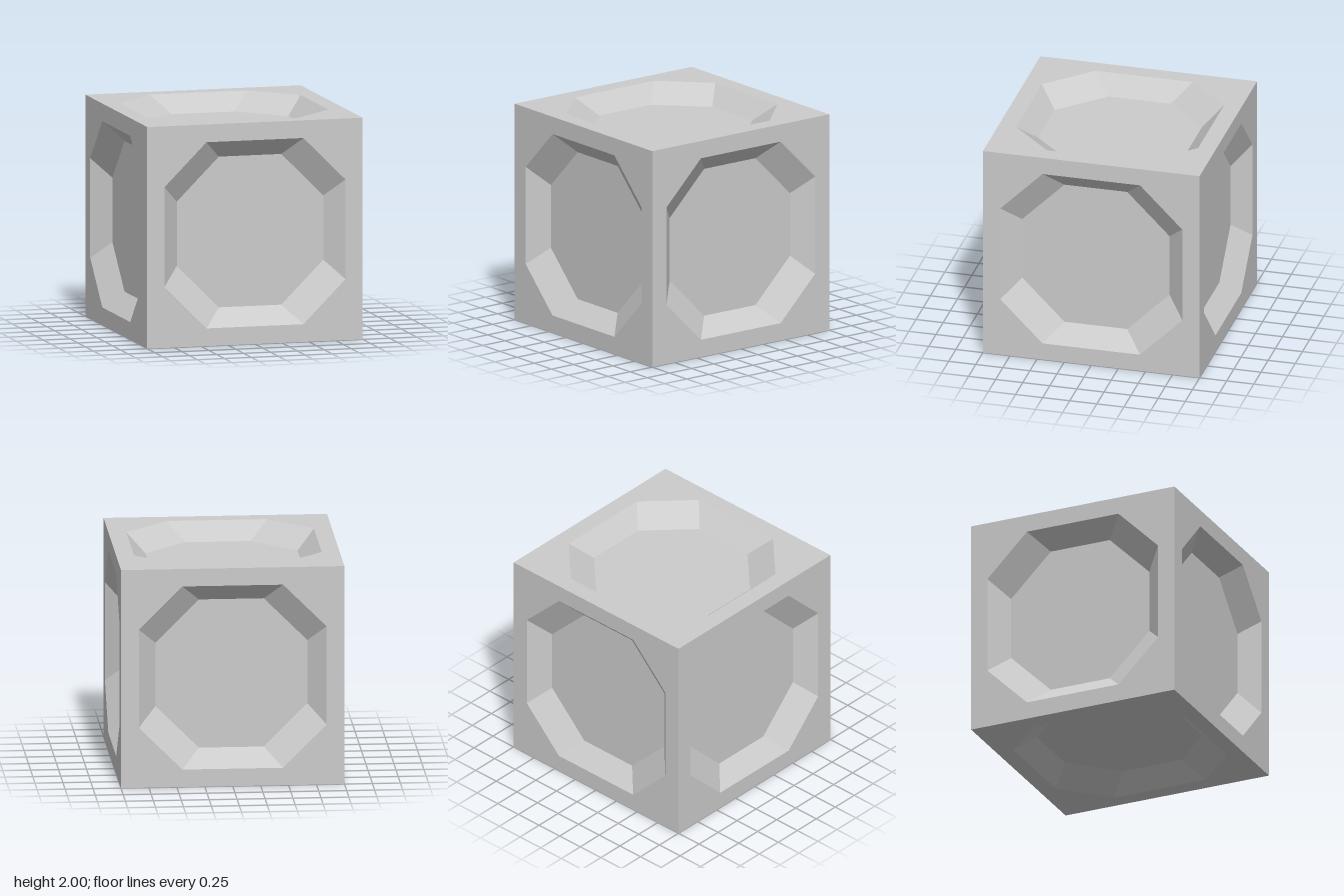
import * as THREE from 'three';

const HALF = 1; // half the cube's edge
const DEPTH = 0.16; // recess depth, also the inward step of its corners
const RIM = [0.84, 0.45]; // long and short corner coordinates of the octagon

// Corners of the octagon, counter-clockwise, stepped inwards by inset
function octagon(inset) {
  const a = RIM[0] - inset, b = RIM[1] - inset;
  return [[a, -b], [a, b], [b, a], [-b, a], [-a, b], [-a, -b], [-b, -a], [b, -a]]
    .map(([x, y]) => new THREE.Vector2(x, y));
}

// Sloping walls joining the rim to the recessed floor
function wallGeometry(outer, inner) {
  const positions = [];
  outer.forEach((a, i) => {
    const j = (i + 1) % outer.length;
    const b = outer[j], c = inner[j], d = inner[i];
    const top = HALF, low = HALF - DEPTH;
    positions.push(
      a.x, a.y, top, b.x, b.y, top, c.x, c.y, low,
      a.x, a.y, top, c.x, c.y, low, d.x, d.y, low);
  });
  const geometry = new THREE.BufferGeometry();
  geometry.setAttribute('position', new THREE.Float32BufferAttribute(positions, 3));
  geometry.computeVertexNormals();
  return geometry;
}

export function createModel() {
  const model = new THREE.Group();
  model.name = 'recessedCube';
  const material = new THREE.MeshStandardMaterial({ color: 0xcccccc, flatShading: true });

  const outer = octagon(0), inner = octagon(DEPTH);

  // Square face with an octagonal opening
  const square = new THREE.Shape([[-1, -1], [1, -1], [1, 1], [-1, 1]]
    .map(([x, y]) => new THREE.Vector2(x * HALF, y * HALF)));
  square.holes.push(new THREE.Path([...outer].reverse()));

  const parts = {
    faceFrame: new THREE.ShapeGeometry(square).translate(0, 0, HALF),
    recessWall: wallGeometry(outer, inner),
    recessFloor: new THREE.ShapeGeometry(new THREE.Shape(inner)).translate(0, 0, HALF - DEPTH),
  };

  // The same panel turned onto all six sides
  const q = Math.PI / 2;
  const sides = {
    front: [0, 0], left: [0, q], back: [0, 2 * q], right: [0, -q], top: [-q, 0], bottom: [q, 0],
  };
  for (const [side, [rx, ry]] of Object.entries(sides)) {
    const panel = new THREE.Group();
    panel.name = `${side}Panel`;
    panel.rotation.set(rx, ry, 0);
    panel.position.y = HALF;
    for (const [name, geometry] of Object.entries(parts)) {
      const mesh = new THREE.Mesh(geometry, material);
      mesh.name = name;
      panel.add(mesh);
    }
    model.add(panel);
  }
  return model;
}
